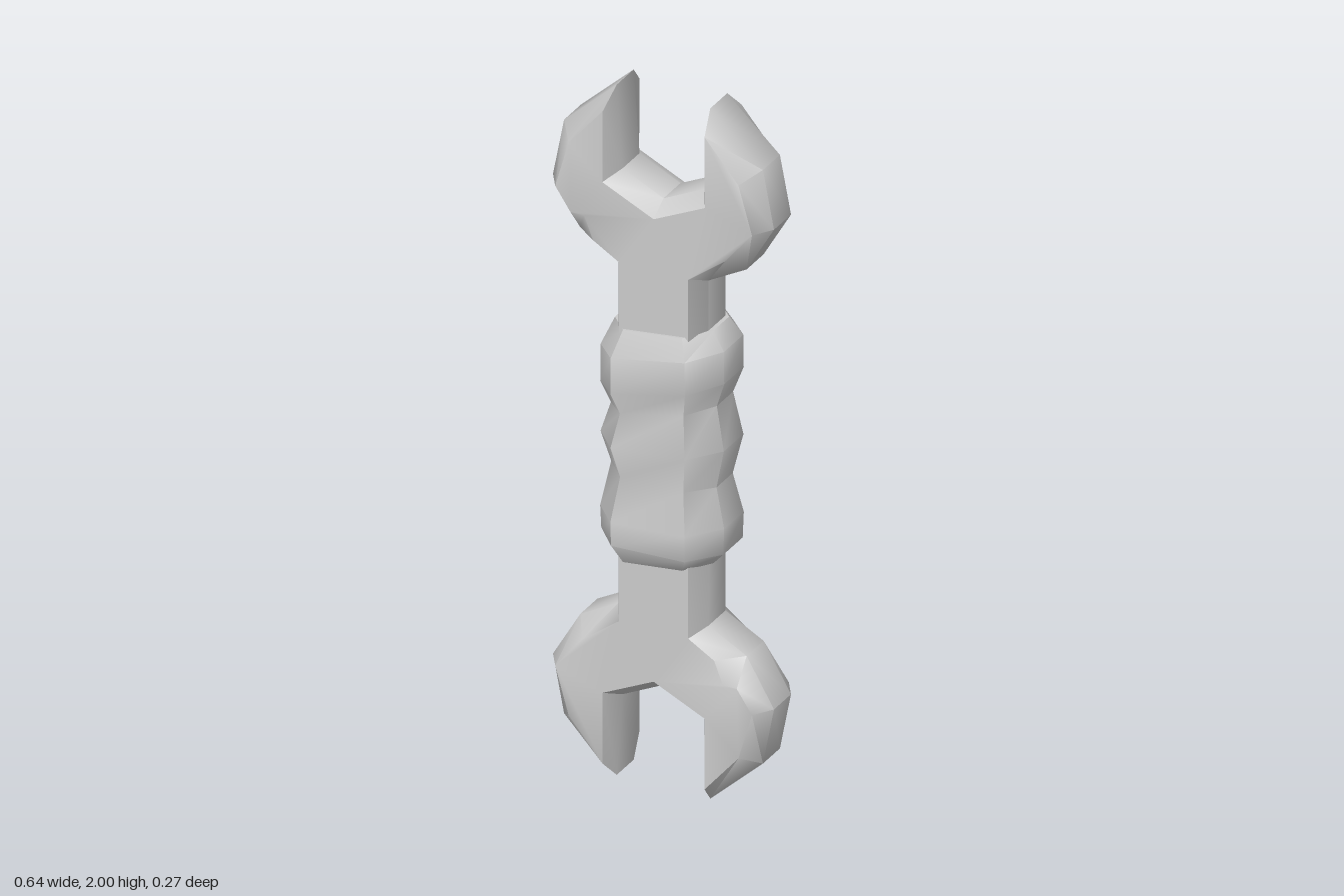
import * as THREE from 'three';
import { toCreasedNormals } from 'three/addons/utils/BufferGeometryUtils.js';

// Skin a stack of equal-length rings (counter-clockwise seen from the stack's end) and cap both ends.
function loft(rings, project, crease) {
  const pos = [];
  const tri = (a, b, c) => {
    if (new THREE.Triangle(a, b, c).getArea() > 1e-7) pos.push(...a, ...b, ...c);
  };
  const n = rings[0].length;
  for (let r = 0; r < rings.length - 1; r++) {
    const lo = rings[r], hi = rings[r + 1];
    for (let i = 0; i < n; i++) {
      const j = (i + 1) % n;
      tri(lo[i], lo[j], hi[j]);
      tri(lo[i], hi[j], hi[i]);
    }
  }
  const cap = (ring, up) => {
    // drop repeated corners before triangulating
    const pts = ring.filter((p, i) => p.distanceTo(ring[(i + 1) % n]) > 1e-5);
    const flat = pts.map(project);
    for (const [a, b, c] of THREE.ShapeUtils.triangulateShape(flat, [])) {
      const ccw = THREE.ShapeUtils.area([flat[a], flat[b], flat[c]]) > 0;
      if (ccw === up) tri(pts[a], pts[b], pts[c]);
      else tri(pts[a], pts[c], pts[b]);
    }
  };
  cap(rings[0], false);
  cap(rings[rings.length - 1], true);
  const geo = new THREE.BufferGeometry();
  geo.setAttribute('position', new THREE.Float32BufferAttribute(pos, 3));
  return toCreasedNormals(geo, crease);
}

// Right half of one head, from the shaft up around the jaw
const RIM = [[0.13, 1.5], [0.24, 1.56], [0.319, 1.695], [0.287, 1.86], [0.135, 2], [0.118, 1.762]];
const FACE = [[0.1, 1.52], [0.206, 1.6], [0.284, 1.695], [0.245, 1.83], [0.147, 1.945], [0.148, 1.74]];
// Chipped corner, replacing the second face point on one jaw
const CHIP = [[0.24, 1.63], [0.2, 1.63], [0.175, 1.565]];

// Full double-ended outline; the lower head is the upper one turned half round
function outline(half, notchY, z, chipped) {
  const left = half.map(([x, y]) => [-x, y]).reverse();
  const corner = left[4];
  const nick = chipped ? CHIP.map(([x, y]) => [-x, y]) : [corner, corner, corner];
  left.splice(4, 1, ...nick);
  const top = [...half, [0, notchY], ...left];
  const bottom = top.map(([x, y]) => [-x, 2 - y]);
  return [...top, ...bottom].map(([x, y]) => new THREE.Vector3(x, y, z));
}

// Octagonal grip section, tilted along x
function gripRing([y, tilt, hx, hz]) {
  const section = [[1, 0.4], [0.6, 1], [-0.6, 1], [-1, 0.4], [-1, -0.4], [-0.6, -1], [0.6, -1], [1, -0.4]];
  return section.map(([u, v]) => new THREE.Vector3(u * hx, y + tilt * u, -v * hz));
}

export function createModel() {
  const group = new THREE.Group();
  const material = new THREE.MeshStandardMaterial({ color: 0xcccccc });
  const add = (name, geo) => {
    const mesh = new THREE.Mesh(geo, material);
    mesh.name = name;
    group.add(mesh);
  };

  // Bevelled body: shaft and both open jaws
  add('wrenchBody', loft([
    outline(FACE, 1.67, -0.1, false),
    outline(RIM, 1.705, -0.046, false),
    outline(RIM, 1.705, 0.046, false),
    outline(FACE, 1.67, 0.1, true),
  ], (p) => new THREE.Vector2(p.x, p.y), 0.84));

  // Wrapped grip with three bulges: height, tilt, half width, half depth
  add('grip', loft([
    [0.667, 0.015, 0.142, 0.106],
    [0.715, 0.005, 0.176, 0.132],
    [0.785, 0.01, 0.179, 0.133],
    [0.905, 0, 0.152, 0.11],
    [1.005, 0.015, 0.178, 0.133],
    [1.108, 0.033, 0.153, 0.11],
    [1.175, 0.04, 0.179, 0.132],
    [1.275, 0.033, 0.178, 0.132],
    [1.34, 0.016, 0.142, 0.106],
  ].map(gripRing), (p) => new THREE.Vector2(p.x, -p.z), 0.75));

  return group;
}
